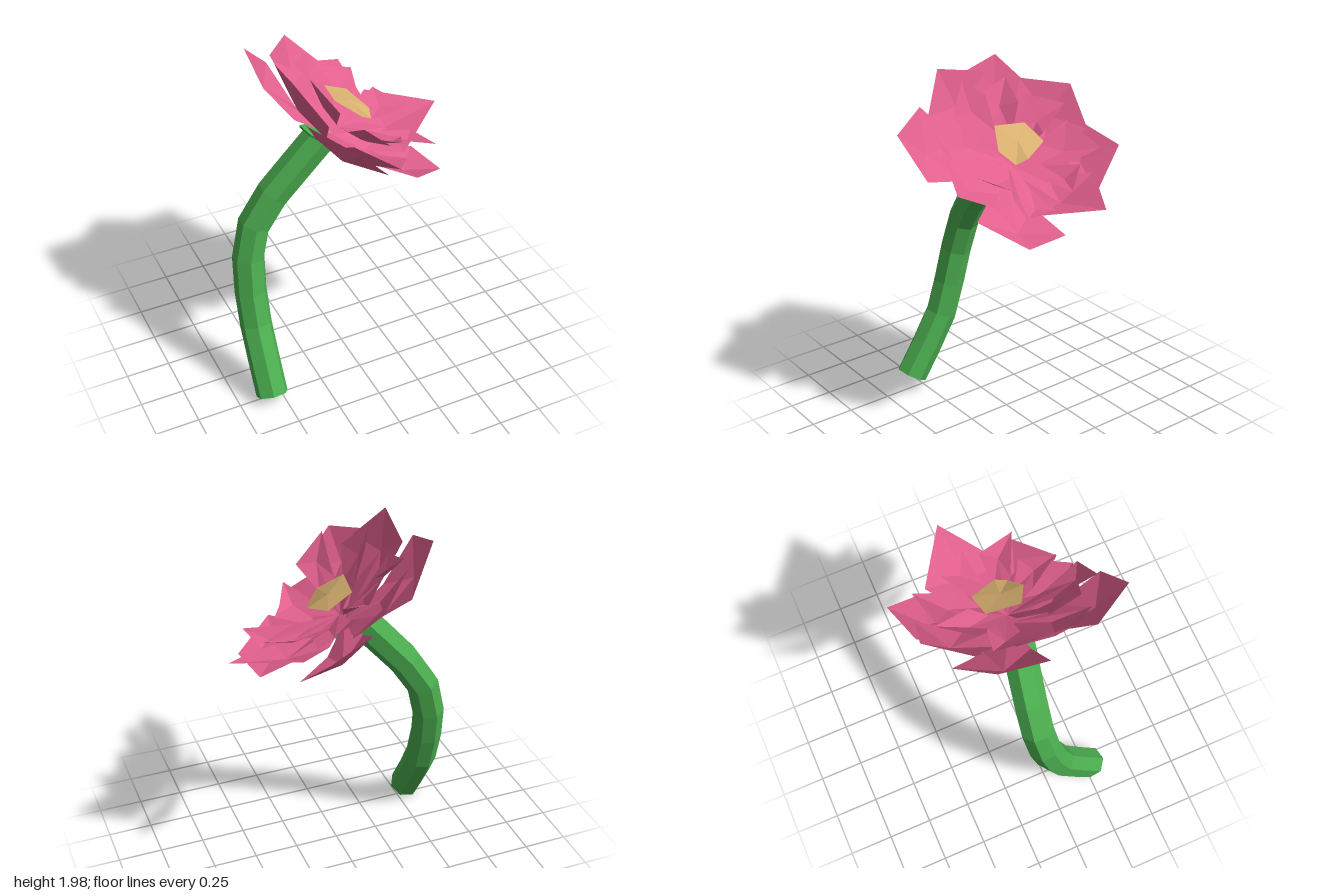
import * as THREE from 'three';

const V = (p) => new THREE.Vector3(...p);
const AXIS = V([0.5, 0.86, 0.05]).normalize(); // direction the bloom faces

const green = new THREE.MeshStandardMaterial({ name: 'leaf green', color: 0x4caf50, side: THREE.DoubleSide });
const pink = new THREE.MeshStandardMaterial({ name: 'petal pink', color: 0xe2608e, side: THREE.DoubleSide });
const sand = new THREE.MeshStandardMaterial({ name: 'centre sand', color: 0xd8b070, side: THREE.DoubleSide });

// Faceted fan from a hub point round a closed loop of points
function fan(hub, loop) {
  const pts = [];
  loop.forEach((p, i) => pts.push(hub, p, loop[(i + 1) % loop.length]));
  const g = new THREE.BufferGeometry().setFromPoints(pts);
  g.computeVertexNormals();
  return g;
}

function faceted(geometry) {
  const g = geometry.toNonIndexed();
  g.computeVertexNormals();
  return g;
}

// Cupped petal: narrow base, sunken middle and the given outer corners
function petal(base, corners, sink) {
  const outer = corners.map(V);
  const mean = new THREE.Vector3();
  outer.forEach((p) => mean.addScaledVector(p, 1 / outer.length));
  const waist = (p) => base.clone().lerp(p, 0.5).addScaledVector(AXIS, -sink * 0.7);
  const mid = base.clone().lerp(mean, 0.85).addScaledVector(AXIS, -sink);
  return fan(mid, [base, waist(outer[0]), ...outer, waist(outer[outer.length - 1])]);
}

// Outer corners of each petal, going round the bloom
const OUTER = [
  [[0.31, 1.49, -0.35], [0.647, 1.44, -0.143], [0.32, 1.357, 0.12]],
  [[0.45, 1.255, -0.045], [0.486, 1.26, 0.223], [0.256, 1.373, 0.383]],
  [[0.26, 1.42, 0.26], [0.14, 1.484, 0.418], [-0.1, 1.65, 0.35]],
  [[0.016, 1.548, 0.516], [-0.176, 1.76, 0.57], [-0.336, 1.82, 0.32]],
  [[-0.23, 1.8, 0.34], [-0.354, 2.0, 0.19], [-0.322, 1.94, -0.112]],
  [[-0.44, 1.9, 0.02], [-0.43, 1.987, -0.25], [-0.245, 1.77, -0.415]],
  [[-0.27, 1.88, -0.3], [-0.092, 1.85, -0.515], [0.1, 1.65, -0.48]],
  [[0.005, 1.66, -0.51], [0.256, 1.58, -0.575], [0.336, 1.378, -0.352]],
];
const INNER = [
  [[0.312, 1.56, -0.254], [0.444, 1.49, -0.09]],
  [[0.42, 1.4, 0], [0.46, 1.42, 0.21]],
  [[0.27, 1.495, 0.164], [0.18, 1.585, 0.338]],
  [[0.08, 1.64, 0.408], [-0.085, 1.8, 0.436]],
  [[-0.127, 1.8, 0.254], [-0.23, 1.95, 0.122], [-0.165, 1.87, 0.014]],
  [[-0.29, 1.83, -0.01], [-0.287, 1.895, -0.213], [-0.134, 1.8, -0.185]],
  [[-0.16, 1.83, -0.244], [-0.012, 1.78, -0.411], [0.05, 1.67, -0.21]],
  [[0.03, 1.7, -0.39], [0.267, 1.6, -0.432], [0.21, 1.52, -0.2]],
];

export function createModel() {
  const flower = new THREE.Group();
  flower.name = 'flower';
  const add = (name, geometry, material, parent = flower) => {
    const mesh = new THREE.Mesh(geometry, material);
    mesh.name = name;
    parent.add(mesh);
    return mesh;
  };

  // Bent stem with closed ends
  const path = new THREE.CatmullRomCurve3([
    [-0.567, 0.068, 0.283], [-0.56, 0.45, 0.055], [-0.555, 0.7, -0.01],
    [-0.53, 0.9, -0.05], [-0.46, 1.08, -0.06], [-0.11, 1.5, -0.02],
  ].map(V));
  add('stem', faceted(new THREE.TubeGeometry(path, 8, 0.092, 7, false)), green);
  [0, 1].forEach((t) => {
    const cap = add(t ? 'stemTop' : 'stemFoot', new THREE.CircleGeometry(0.088, 7), green);
    const end = path.getPointAt(t);
    cap.position.copy(end);
    cap.lookAt(end.clone().addScaledVector(path.getTangentAt(t), t ? 1 : -1));
  });

  // Flat sepal plate under the bloom
  const sepal = add('sepal', faceted(new THREE.CylinderGeometry(0.16, 0.15, 0.012, 7)), green);
  sepal.scale.z = 0.6;
  sepal.position.set(-0.1, 1.49, -0.02);
  sepal.quaternion.setFromUnitVectors(V([0, 1, 0]), V([0.59, 0.81, 0]).normalize());

  // Two whorls of petals
  [['outerPetal', OUTER, [-0.04, 1.485, -0.02], 0.07], ['innerPetal', INNER, [-0.01, 1.53, -0.02], 0.035]]
    .forEach(([name, list, base, sink]) => {
      const whorl = new THREE.Group();
      whorl.name = name + 's';
      list.forEach((corners) => add(name, petal(V(base), corners, sink), pink, whorl));
      flower.add(whorl);
    });

  // Angular flower centre, a shallow plate with a lower facet
  const rim = [
    [-0.054, 1.733, 0.038], [-0.03, 1.72, -0.146], [0.11, 1.65, -0.167],
    [0.17, 1.6, -0.014], [0.15, 1.575, 0.05], [0.07, 1.64, 0.105],
  ].map(V);
  add('centreTop', fan(V([0.06, 1.668, -0.03]), rim), sand);
  add('centreBack', fan(V([0.05, 1.64, -0.03]), rim.slice().reverse()), sand);

  return flower;
}
